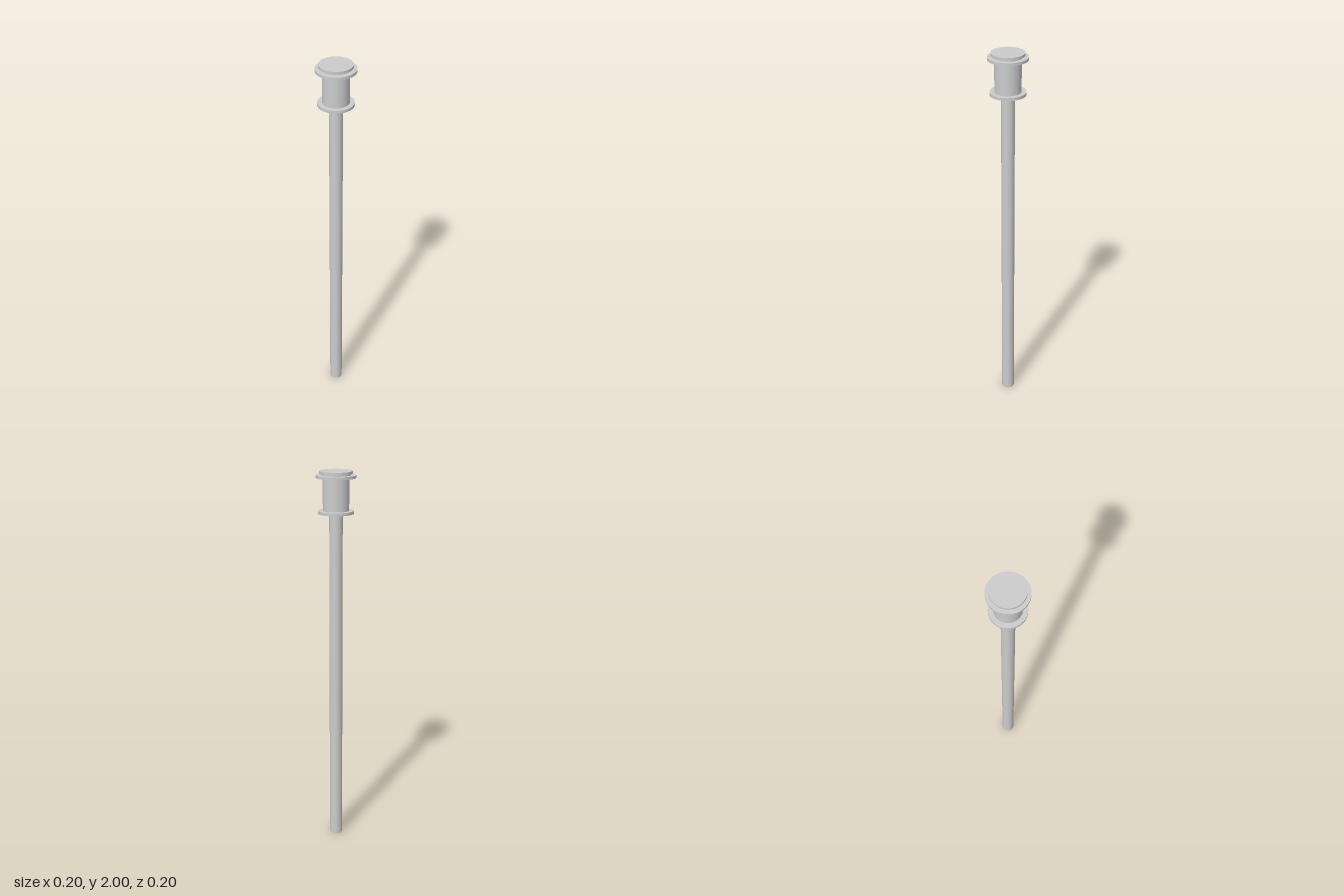
import * as THREE from 'three';

export function createModel() {
  const group = new THREE.Group();
  const material = new THREE.MeshStandardMaterial({ color: 0xcccccc });

  // Upright disc or rod between two heights
  const disc = (name, radius, y0, y1) => {
    const mesh = new THREE.Mesh(new THREE.CylinderGeometry(radius, radius, y1 - y0, 48), material);
    mesh.name = name;
    mesh.position.y = (y0 + y1) / 2;
    group.add(mesh);
  };

  // Long rod
  disc('shaft', 0.034, 0, 1.79);

  // Spool-shaped head
  disc('lowerFlange', 0.09, 1.79, 1.805);
  disc('headBody', 0.066, 1.805, 1.966);
  disc('upperFlange', 0.1, 1.966, 1.98);

  // Cap on a short recessed neck
  disc('capNeck', 0.074, 1.98, 1.987);
  disc('cap', 0.083, 1.987, 2);

  return group;
}
